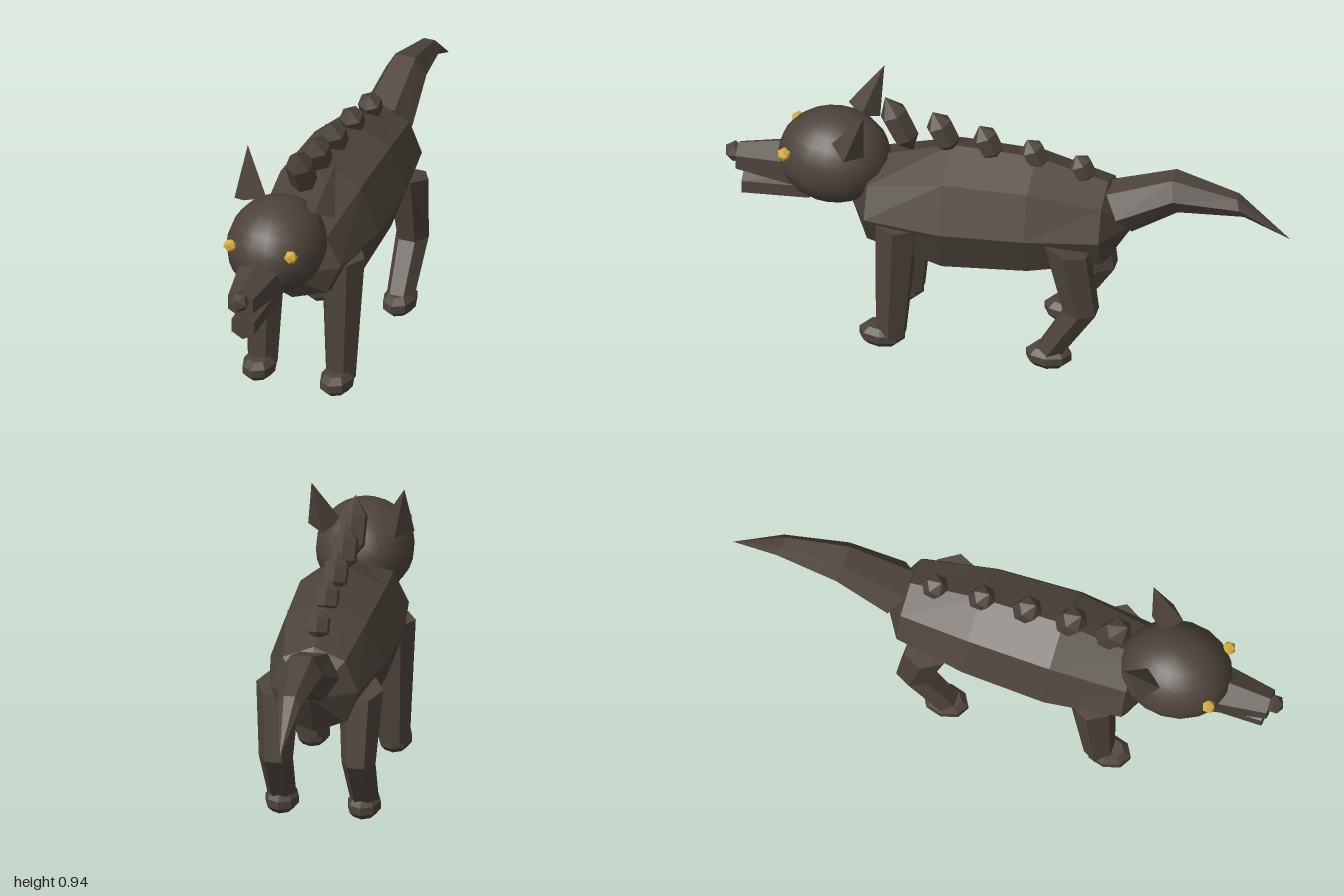
import * as THREE from 'three';

const fur = new THREE.MeshStandardMaterial({ color: 0x4d443b });
fur.name = 'dark fur';
fur.flatShading = true;
const smoothFur = fur.clone();
smoothFur.name = 'smooth dark fur';
smoothFur.flatShading = false;
const amber = new THREE.MeshStandardMaterial({ color: 0xd4ad3c });
amber.name = 'amber';
amber.flatShading = true;

// Closed skin over rings [x, y, z, rx, ry, tilt]; tilt turns a ring about x
// (0 faces +z, -PI/2 faces up, PI faces -z) and rings run the way they face.
function loft(rings, sides, phase = 0) {
  const pos = [];
  const point = ([x, y, z, rx, ry, tilt], i) => {
    const t = phase + (i / sides) * Math.PI * 2;
    const v = Math.sin(t) * ry;
    return [x + Math.cos(t) * rx, y + v * Math.cos(tilt), z + v * Math.sin(tilt)];
  };
  const last = rings.length - 1;
  for (let i = 0; i < sides; i++) {
    for (let k = 0; k < last; k++) {
      const a = point(rings[k], i), b = point(rings[k], i + 1);
      const c = point(rings[k + 1], i + 1), d = point(rings[k + 1], i);
      if (rings[k][3] > 0) pos.push(...a, ...b, ...d);
      if (rings[k + 1][3] > 0) pos.push(...b, ...c, ...d);
      else if (rings[k][3] === 0) continue;
    }
    if (rings[0][3] > 0) pos.push(...rings[0].slice(0, 3), ...point(rings[0], i + 1), ...point(rings[0], i));
    if (rings[last][3] > 0) pos.push(...rings[last].slice(0, 3), ...point(rings[last], i), ...point(rings[last], i + 1));
  }
  const geo = new THREE.BufferGeometry();
  geo.setAttribute('position', new THREE.Float32BufferAttribute(pos, 3));
  geo.computeVertexNormals();
  return geo;
}

function lathe(points, sides) {
  return new THREE.LatheGeometry(points.map(([r, y]) => new THREE.Vector2(r, y)), sides);
}

export function createModel() {
  const model = new THREE.Group();
  model.name = 'wolf';
  const add = (name, geo, mat, x = 0, y = 0, z = 0) => {
    const mesh = new THREE.Mesh(geo, mat);
    mesh.name = name;
    mesh.position.set(x, y, z);
    model.add(mesh);
    return mesh;
  };
  const UP = -Math.PI / 2, BACK = Math.PI;

  // Torso, eight-sided
  add('body', loft([
    [0, 0.53, -0.45, 0, 0, 0],
    [0, 0.53, -0.355, 0.155, 0.16, 0],
    [0, 0.53, -0.1, 0.2, 0.225, 0],
    [0, 0.52, 0.2, 0.213, 0.24, 0],
    [0, 0.52, 0.47, 0.18, 0.155, 0],
    [0, 0.5, 0.56, 0, 0, 0],
  ], 8), fur);

  // Drooping tail
  add('tail', loft([
    [0, 0.6, -0.405, 0.1, 0.096, BACK + 0.57],
    [0, 0.692, -0.6, 0.075, 0.075, BACK + 0.15],
    [0, 0.667, -0.828, 0.04, 0.042, BACK + 0.34],
    [0, 0.55, -1, 0, 0, BACK],
  ], 6), fur);

  // Head, snout and jaw
  const head = add('head', new THREE.SphereGeometry(1, 18, 14), smoothFur, 0, 0.657, 0.613);
  head.scale.set(0.171, 0.168, 0.197);
  add('snout', loft([
    [0, 0.605, 0.7, 0.1, 0.1, 0],
    [0, 0.598, 0.955, 0.053, 0.053, 0],
  ], 6, Math.PI / 6), fur);
  add('jaw', loft([
    [0, 0.512, 0.695, 0.053, 0.046, 0],
    [0, 0.495, 0.935, 0.048, 0.047, 0],
  ], 6, Math.PI / 6), fur);
  add('nose', new THREE.IcosahedronGeometry(0.037, 0), fur, 0, 0.613, 0.968);

  // Row of back spines, shrinking toward the tail: [y, z, half length, radius]
  const spines = [
    [0.82, 0.385, 0.115, 0.05],
    [0.81, 0.23, 0.085, 0.048],
    [0.79, 0.07, 0.072, 0.045],
    [0.767, -0.095, 0.062, 0.043],
    [0.735, -0.265, 0.055, 0.042],
  ];
  for (const [y, z, h, r] of spines) {
    const geo = lathe([[0, -h], [r * 0.95, -h * 0.5], [r, h * 0.4], [0, h]], 6);
    add('backSpine', geo, fur, 0, y, z).rotation.x = 0.45;
  }

  const legs = {
    frontLeg: [
      [0.145, 0.04, 0.38, 0.055, 0.055, UP],
      [0.145, 0.505, 0.358, 0.08, 0.08, UP],
    ],
    hindLeg: [
      [0.145, 0.04, -0.17, 0.05, 0.055, UP],
      [0.145, 0.24, -0.293, 0.06, 0.065, UP],
      [0.145, 0.497, -0.245, 0.078, 0.085, UP - 0.2],
    ],
  };

  for (const [side, s] of [['left', 1], ['right', -1]]) {
    // Legs and paws
    for (const [leg, rings] of Object.entries(legs)) {
      add(`${side} ${leg}`, loft(rings.map(([x, ...rest]) => [x * s, ...rest]), 6), fur);
      const pawZ = leg === 'frontLeg' ? 0.412 : -0.178;
      const paw = lathe([[0, 0], [0.7, 0], [1, 0.022], [1, 0.05], [0.7, 0.072], [0, 0.072]], 8);
      add(`${side} ${leg} paw`, paw, fur, 0.144 * s, 0, pawZ).scale.set(0.058, 1, 0.081);
    }
    // Pointed ears leaning out and back
    const base = new THREE.Vector3(0.128 * s, 0.77, 0.538);
    const axis = new THREE.Vector3(0.163 * s, 0.94, 0.475).sub(base);
    const height = axis.length();
    const earGeo = new THREE.ConeGeometry(0.06, height, 4).translate(0, height / 2, 0);
    const ear = add(`${side} ear`, earGeo, fur, base.x, base.y, base.z);
    ear.quaternion.setFromUnitVectors(new THREE.Vector3(0, 1, 0), axis.normalize());
    // Eyes
    add(`${side} eye`, new THREE.IcosahedronGeometry(0.025, 0), amber, 0.113 * s, 0.707, 0.767);
  }
  return model;
}
